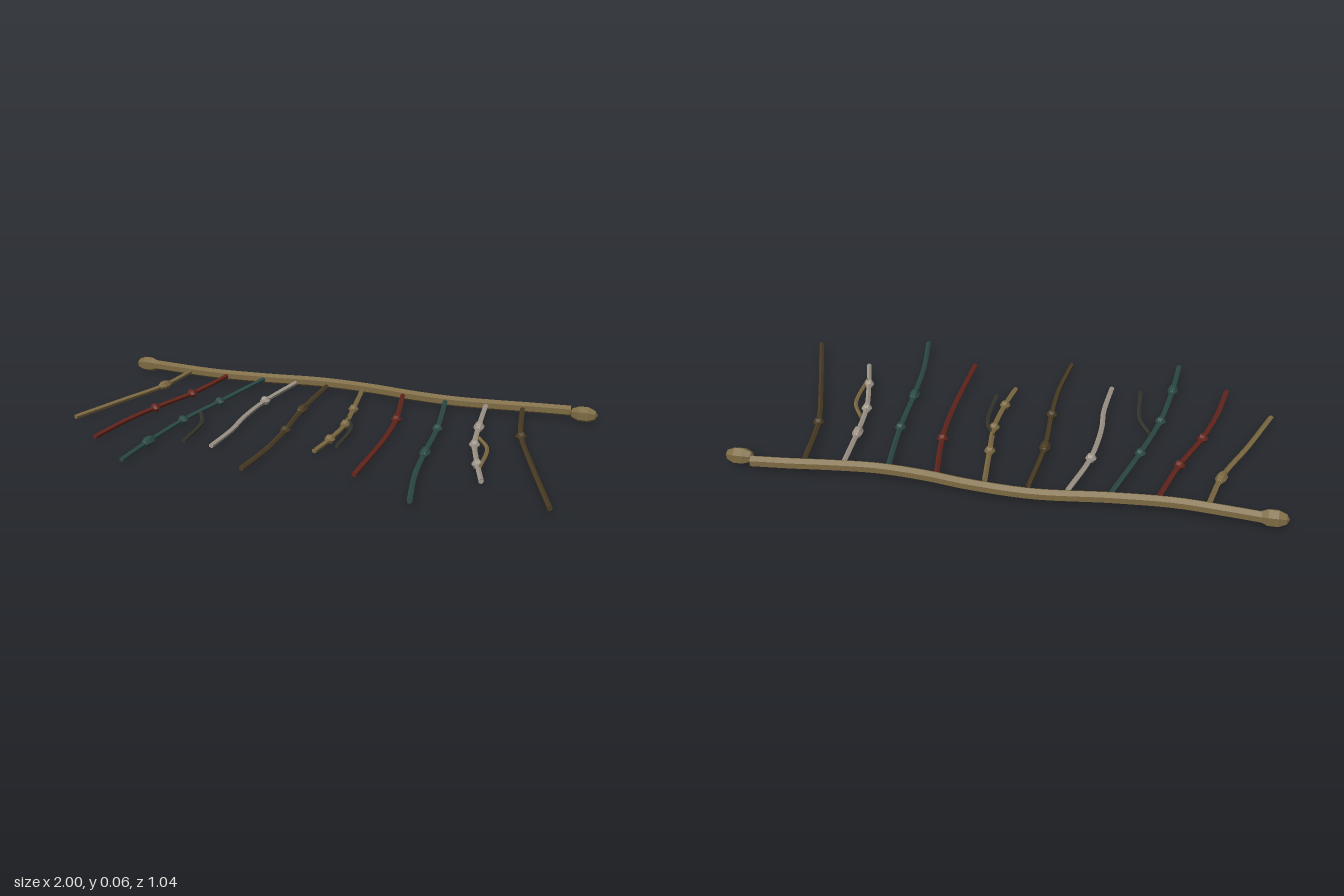
import * as THREE from 'three';

const mat = (color, flatShading = true) => new THREE.MeshStandardMaterial({ color, flatShading });
const M = {
  wood: mat(0x7d6a42), tan: mat(0x7d6a42), red: mat(0x64251c), teal: mat(0x2c4a46),
  grey: mat(0xa0978a), brown: mat(0x4a3c24), dark: mat(0x36362e),
};

// cords start at the rope's middle height and settle just above the ground
const cordY = (z) => 0.0205 + 0.011 * THREE.MathUtils.clamp(-z / 0.45, 0, 1) ** 2;

// closed tube along a smooth curve
function tube(curve, segments, radius, sides, material, name) {
  const g = new THREE.Group();
  g.name = name;
  g.add(new THREE.Mesh(new THREE.TubeGeometry(curve, segments, radius, sides), material));
  for (const t of [0, 1]) {
    const cap = new THREE.Mesh(new THREE.CircleGeometry(radius, sides), material);
    const p = curve.getPointAt(t);
    const dir = curve.getTangentAt(t).multiplyScalar(t ? 1 : -1);
    cap.position.copy(p);
    cap.lookAt(p.clone().add(dir));
    g.add(cap);
  }
  return g;
}

const cordCurve = (pts) =>
  new THREE.CatmullRomCurve3(pts.map(([x, z]) => new THREE.Vector3(x, cordY(z), z)));

// x, z points of each cord; beads as [z, isLong]; optional side branch
const CORDS = [
  { m: 'tan', pts: [[-0.728, -0.45], [-0.765, -0.25], [-0.845, -0.035], [-0.922, 0.192]], beads: [[-0.262, 1]] },
  { m: 'red', pts: [[-0.555, -0.45], [-0.61, -0.21], [-0.677, -0.01], [-0.718, 0.16], [-0.745, 0.355]],
    beads: [[-0.21, 0], [-0.01, 0]] },
  { m: 'teal', pts: [[-0.393, -0.455], [-0.463, -0.16], [-0.512, 0.08], [-0.535, 0.32], [-0.543, 0.52]],
    beads: [[-0.16, 0], [0.08, 0], [0.325, 1]],
    branch: { m: 'dark', pts: [[-0.48, -0.015], [-0.433, 0.08], [-0.413, 0.283]] } },
  { m: 'grey', pts: [[-0.248, -0.455], [-0.293, -0.23], [-0.302, -0.02], [-0.292, 0.1], [-0.298, 0.29]],
    beads: [[-0.23, 0]] },
  { m: 'brown', pts: [[-0.11, -0.455], [-0.117, -0.18], [-0.1, 0.04], [-0.094, 0.24], [-0.11, 0.45]],
    beads: [[-0.185, 1], [0.045, 0]] },
  { m: 'tan', pts: [[0.046, -0.455], [0.074, -0.255], [0.095, -0.09], [0.09, 0.08], [0.075, 0.21]],
    beads: [[-0.255, 0], [-0.088, 0], [0.08, 0]],
    branch: { m: 'dark', pts: [[0.08, -0.155], [0.127, -0.06], [0.138, 0.143]] } },
  { m: 'red', pts: [[0.22, -0.455], [0.265, -0.205], [0.28, 0], [0.278, 0.368]], beads: [[-0.205, 0]] },
  { m: 'teal', pts: [[0.399, -0.455], [0.44, -0.16], [0.456, 0.08], [0.477, 0.3], [0.518, 0.518]],
    beads: [[-0.16, 0], [0.085, 1]] },
  { m: 'grey', pts: [[0.564, -0.455], [0.585, -0.23], [0.608, -0.05], [0.656, 0.125], [0.704, 0.278]],
    beads: [[-0.23, 1], [-0.05, 0], [0.13, 0]],
    branch: { m: 'tan', pts: [[0.608, -0.12], [0.66, -0.025], [0.673, 0.182]] } },
  { m: 'brown', pts: [[0.709, -0.455], [0.753, -0.19], [0.832, 0.055], [0.96, 0.418]], beads: [[-0.19, 0]] },
];

export function createModel() {
  const model = new THREE.Group();
  model.name = 'knottedCords';

  // wavy main rope
  const ropePts = [[-0.92, -0.48], [-0.8, -0.468], [-0.62, -0.455], [-0.4, -0.469], [-0.13, -0.5],
    [0.1, -0.488], [0.25, -0.466], [0.43, -0.455], [0.6, -0.469], [0.75, -0.488], [0.892, -0.502]];
  const ropeCurve = new THREE.CatmullRomCurve3(ropePts.map(([x, z]) => new THREE.Vector3(x, 0.032, z)));
  model.add(tube(ropeCurve, 40, 0.021, 6, M.wood, 'mainRope'));

  // faceted end knots, poles along the rope and an edge on top
  const knotGeo = new THREE.SphereGeometry(1, 6, 5).rotateZ(Math.PI / 2);
  for (const side of [-1, 1]) {
    const knot = new THREE.Mesh(knotGeo, M.wood);
    knot.name = side < 0 ? 'rightEndKnot' : 'leftEndKnot';
    knot.scale.set(0.055, 0.033, 0.033);
    knot.position.set(side * 0.945, 0.032, -0.477);
    model.add(knot);
  }

  // hanging cords with their knots and side branches
  const beadGeo = new THREE.SphereGeometry(1, 6, 5).rotateX(Math.PI / 2);
  CORDS.forEach(({ m, pts, beads, branch }, i) => {
    const group = new THREE.Group();
    group.name = `pendant${i + 1}`;
    const curve = cordCurve(pts);
    group.add(tube(curve, 18, 0.01, 5, M[m], 'cord'));
    const samples = curve.getSpacedPoints(200);
    for (const [z, long] of beads) {
      const k = samples.findIndex((p) => p.z >= z);
      const p = samples[k];
      const bead = new THREE.Mesh(beadGeo, M[m]);
      bead.name = long ? 'longKnot' : 'knot';
      bead.position.copy(p);
      bead.lookAt(p.clone().add(curve.getTangentAt(k / 200)));
      bead.scale.set(0.021, 0.019, long ? 0.038 : 0.021);
      group.add(bead);
    }
    if (branch) group.add(tube(cordCurve(branch.pts), 12, 0.008, 5, M[branch.m], 'branchCord'));
    model.add(group);
  });
  return model;
}
